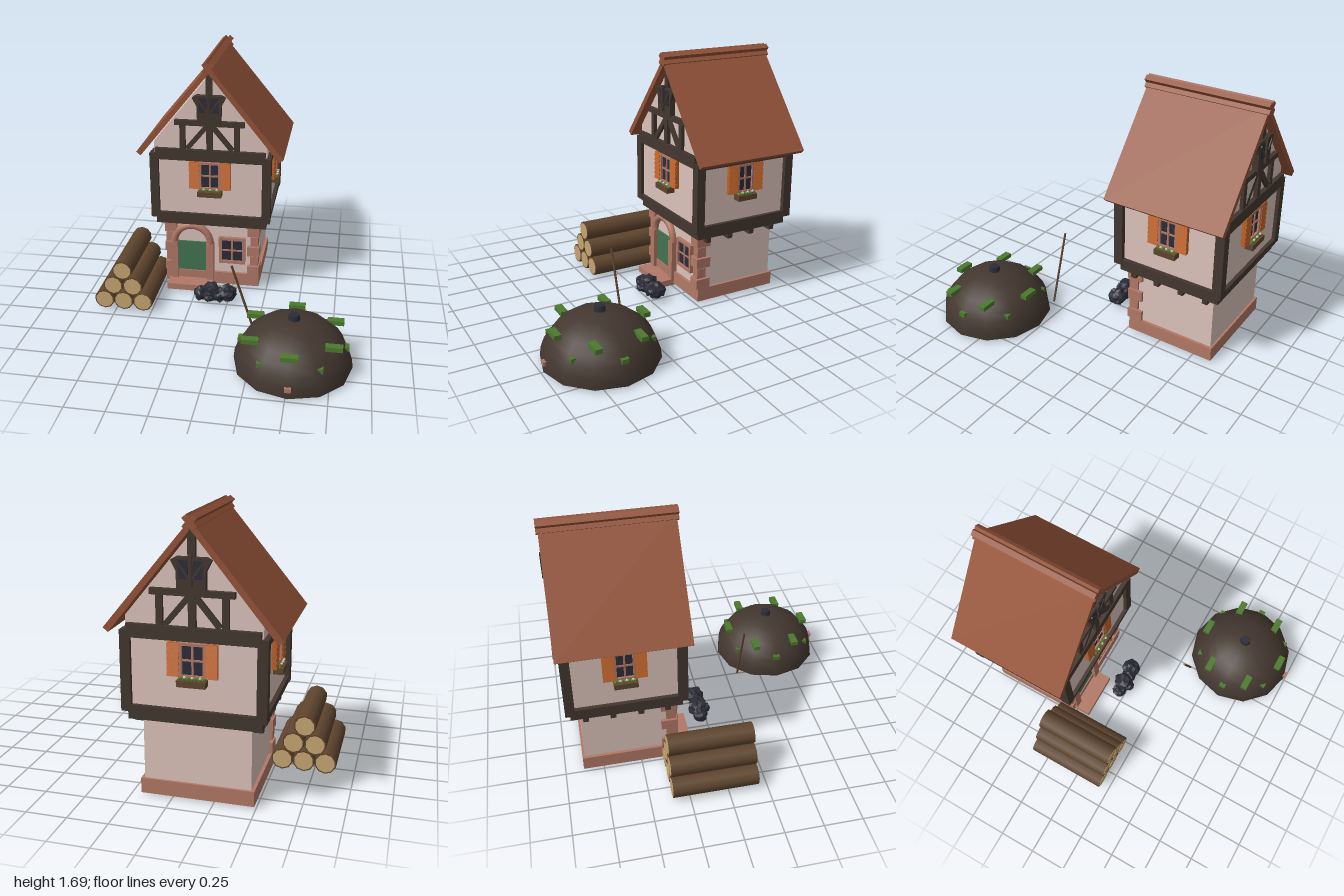
import * as THREE from 'three';

const mat = (name, color, side = THREE.FrontSide) => {
  const m = new THREE.MeshStandardMaterial({ color, side });
  m.name = name;
  return m;
};

export function createModel() {
  const plaster = mat('plaster', 0xdcc3bb), brick = mat('brick', 0xb17866);
  const tile = mat('roofTile', 0x945339), timber = mat('darkTimber', 0x43372f, THREE.DoubleSide);
  const orange = mat('shutterOrange', 0xbd632a), doorGreen = mat('doorGreen', 0x437350);
  const grass = mat('grass', 0x4c7a2e), glass = mat('darkBlue', 0x2b2c38);
  const bark = mat('bark', 0x5f452e), cutWood = mat('cutWood', 0xc6a672);

  const add = (parent, name, geo, material, x = 0, y = 0, z = 0) => {
    const m = new THREE.Mesh(geo, material);
    m.name = name;
    m.position.set(x, y, z);
    parent.add(m);
    return m;
  };
  // box given by its extents
  const box = (parent, name, material, x0, x1, y0, y1, z0, z1) =>
    add(parent, name, new THREE.BoxGeometry(x1 - x0, y1 - y0, z1 - z0), material,
      (x0 + x1) / 2, (y0 + y1) / 2, (z0 + z1) / 2);
  // bar between two points in the xy plane
  const bar = (parent, name, material, a, b, w, d, z) => {
    const dx = b[0] - a[0], dy = b[1] - a[1];
    const m = add(parent, name, new THREE.BoxGeometry(w, Math.hypot(dx, dy), d), material,
      (a[0] + b[0]) / 2, (a[1] + b[1]) / 2, z);
    m.rotation.z = Math.atan2(-dx, dy);
    return m;
  };
  const extrude = (pts, depth) => new THREE.ExtrudeGeometry(
    new THREE.Shape(pts.map(p => new THREE.Vector2(...p))), { depth, bevelEnabled: false });
  const sub = (parent, name, x = 0, y = 0, z = 0, ry = 0) => {
    const g = new THREE.Group();
    g.name = name;
    g.position.set(x, y, z);
    g.rotation.y = ry;
    parent.add(g);
    return g;
  };

  const model = new THREE.Group();
  model.name = 'cottageScene';
  const house = sub(model, 'house', -0.15, 0, -0.577);

  // ground floor, plinth and doorstep
  box(house, 'lowerWall', plaster, -0.32, 0.32, 0.02, 0.5, -0.29, 0.29);
  box(house, 'plinth', brick, -0.34, 0.34, 0.012, 0.105, -0.305, 0.31);
  box(house, 'doorstep', brick, -0.31, 0.01, 0, 0.045, 0.22, 0.425);

  // corner stones, front corners only
  for (const s of [-1, 1]) for (let i = 0; i < 5; i++) {
    const big = i % 2 === 0;
    const w = big ? 0.085 : 0.055, d = big ? 0.105 : 0.065, out = big ? 0.342 : 0.334;
    const y = 0.105 + i * 0.077;
    const xs = s > 0 ? [out - w, out] : [-out, -out + w];
    box(house, 'cornerStone', brick, ...xs, y, y + 0.07, out - 0.02 - d, out - 0.02);
  }

  // arched door
  const door = sub(house, 'door', -0.145, 0, 0.29);
  box(door, 'doorLeaf', doorGreen, -0.105, 0.105, 0.045, 0.335, -0.01, 0.012);
  for (const s of [-1, 1])
    box(door, 'doorPost', brick, s * 0.131 - 0.027, s * 0.131 + 0.027, 0.045, 0.335, -0.02, 0.04);
  add(door, 'doorArch', new THREE.TorusGeometry(0.131, 0.027, 8, 20, Math.PI), brick, 0, 0.335, 0.014);

  // framed window with a cross of glazing bars
  const framedWindow = (g, w, h, t, y) => {
    box(g, 'windowGlass', glass, -w / 2 + t / 2, w / 2 - t / 2, y + t / 2, y + h - t / 2, -0.01, 0.012);
    for (const s of [-1, 1]) {
      const x = s * (w - t) / 2, yy = y + h / 2 + s * (h - t) / 2;
      box(g, 'windowFrame', brick, x - t / 2, x + t / 2, y, y + h, -0.01, 0.026);
      box(g, 'windowFrame', brick, -w / 2, w / 2, yy - t / 2, yy + t / 2, -0.01, 0.025);
    }
    box(g, 'glazingBar', brick, -0.006, 0.006, y, y + h, -0.01, 0.019);
    box(g, 'glazingBar', brick, -w / 2, w / 2, y + h / 2 - 0.006, y + h / 2 + 0.006, -0.01, 0.018);
  };
  framedWindow(sub(house, 'lowerWindow', 0.145, 0, 0.29), 0.19, 0.205, 0.022, 0.185);

  // joists and the jettied upper floor
  for (const z of [-0.257, -0.087, 0.087, 0.257])
    box(house, 'joist', timber, -0.38, 0.38, 0.457, 0.5, z - 0.018, z + 0.018);
  box(house, 'floorBeam', timber, -0.39, 0.39, 0.495, 0.552, -0.35, 0.35);
  add(house, 'upperWall', extrude(
    [[-0.39, 0.55], [0.39, 0.55], [0.39, 1.11], [0, 1.59], [-0.39, 1.11]], 0.71), plaster, 0, 0, -0.355);
  for (const sx of [-1, 1]) for (const sz of [-1, 1])
    box(house, 'cornerPost', timber, sx * 0.39 - 0.03, sx * 0.39 + 0.03, 0.552, 1.03,
      sz * 0.349 - 0.03, sz * 0.349 + 0.03);

  // shuttered window with flower box, facing +z
  const shutteredWindow = (parent, w) => {
    const g = sub(parent, 'shutteredWindow');
    framedWindow(g, w, 0.2, 0.016, 0.782);
    for (const s of [-1, 1]) {
      const x = s * (w / 2 + 0.034);
      box(g, 'shutter', orange, x - 0.034, x + 0.034, 0.785, 0.98, -0.01, 0.018);
      for (let i = 0; i < 6; i++)
        add(g, 'shutterSlat', new THREE.BoxGeometry(0.07, 0.03, 0.012), orange,
          x, 0.801 + i * 0.0325, 0.024).rotation.x = -0.3;
    }
    box(g, 'flowerBox', bark, -w / 2 - 0.008, w / 2 + 0.008, 0.738, 0.775, 0, 0.058);
    for (let i = 0; i < 7; i++) {
      const x = (i - 3) * w * 0.15;
      add(g, 'leaves', new THREE.IcosahedronGeometry(0.013, 0), grass, x, 0.78, 0.034);
      if (i % 2) add(g, 'flower', new THREE.IcosahedronGeometry(0.009, 0), plaster, x + 0.006, 0.792, 0.042);
    }
  };

  // timbered gable faces, front and back
  for (const ry of [0, Math.PI]) {
    const f = sub(house, 'gableFace', 0, 0, 0, ry);
    const wall = sub(f, 'gableWall', 0, 0, 0.355);
    box(wall, 'gableBeam', timber, -0.38, 0.38, 0.99, 1.07, -0.01, 0.028);
    box(wall, 'sillBeam', timber, -0.38, 0.38, 0.552, 0.592, -0.01, 0.024);
    box(wall, 'kingPost', timber, -0.021, 0.021, 1.06, 1.61, -0.01, 0.026);
    box(wall, 'collarBeam', timber, -0.238, 0.238, 1.243, 1.278, -0.01, 0.03);
    for (const s of [-1, 1]) {
      box(wall, 'stud', timber, s * 0.186 - 0.019, s * 0.186 + 0.019, 1.06, 1.25, -0.01, 0.022);
      bar(wall, 'brace', timber, [s * 0.01, 1.25], [s * 0.155, 1.075], 0.032, 0.03, 0.006);
    }
    // small attic window with flared head
    add(wall, 'atticFrame', extrude([[-0.08, 1.27], [0.08, 1.27], [0.082, 1.38],
      [0.112, 1.44], [0.085, 1.455], [-0.085, 1.455], [-0.112, 1.44], [-0.082, 1.38]], 0.05), timber, 0, 0, -0.01);
    for (const s of [-1, 1]) {
      box(wall, 'atticGlass', glass, s * 0.04 - 0.026, s * 0.04 + 0.026, 1.34, 1.44, 0.036, 0.043);
      bar(wall, 'atticBar', timber, [s * 0.01, 1.345], [s * 0.07, 1.43], 0.012, 0.012, 0.043);
    }
    box(wall, 'atticBar', timber, -0.01, 0.01, 1.3, 1.47, 0.03, 0.055);
    shutteredWindow(wall, 0.15);
  }

  // side faces
  for (const s of [-1, 1]) {
    const side = sub(house, 'sideFace', s * 0.39, 0, 0, s * Math.PI / 2);
    box(side, 'topPlate', timber, -0.35, 0.35, 0.985, 1.03, -0.01, 0.026);
    box(side, 'sillBeam', timber, -0.35, 0.35, 0.552, 0.592, -0.01, 0.026);
    shutteredWindow(side, 0.13);
  }

  // roof slopes and crossed ridge boards
  const pitch = Math.atan2(0.615, 0.505);
  for (const s of [-1, 1]) {
    add(house, 'roofSlope', extrude([[0, 1.605], [s * 0.475, 1.017], [s * 0.505, 1.042], [0, 1.655]], 0.803),
      tile, 0, 0, -0.4015);
    add(house, 'ridgeBoard', new THREE.BoxGeometry(0.088, 0.036, 0.826), tile,
      0, 1.642, 0).rotation.z = s * pitch;
  }

  // log pile
  const logs = sub(model, 'logPile');
  [[-0.825, 0.08], [-0.69, 0.08], [-0.555, 0.08], [-0.758, 0.195], [-0.622, 0.195], [-0.69, 0.312]]
    .forEach(([x, y]) => {
      const log = add(logs, 'log', new THREE.CylinderGeometry(0.069, 0.069, 0.55, 10), bark, x, y, -0.085);
      log.rotation.x = Math.PI / 2;
      add(log, 'logEnds', new THREE.CylinderGeometry(0.06, 0.06, 0.555, 10), cutWood);
    });

  // coal heap: lumps roughened by a fixed rule
  const coal = sub(model, 'coalHeap');
  [[-0.19, 0.055, -0.04, 0.053], [-0.12, 0.07, -0.045, 0.068], [-0.125, 0.055, 0, 0.04],
    [-0.06, 0.058, -0.035, 0.055], [0, 0.07, -0.045, 0.064]].forEach(([x, y, z, r], k) => {
    const geo = new THREE.IcosahedronGeometry(r, 2), p = geo.attributes.position;
    const v = new THREE.Vector3();
    for (let i = 0; i < p.count; i++) {
      v.fromBufferAttribute(p, i);
      const n = v.clone().divideScalar(r);
      v.multiplyScalar(0.94 + 0.15 * Math.sin(n.x * 9 + k) * Math.sin(n.y * 11 + k * 2) + 0.08 * Math.sin(n.z * 13));
      p.setXYZ(i, v.x, v.y, v.z);
    }
    geo.computeVertexNormals();
    add(coal, 'coalLump', geo, glass, x, y, z);
  });

  // earth mound, open underneath, with vent cap and turf blocks
  const mound = sub(model, 'earthMound', 0.515, 0, 0.62);
  add(mound, 'moundShell', new THREE.SphereGeometry(0.37, 12, 8, 0, Math.PI * 2, 0, Math.PI / 2),
    timber, 0, 0.012, 0).scale.y = 0.85;
  add(mound, 'ventCap', new THREE.CylinderGeometry(0.033, 0.04, 0.05, 8), glass, 0, 0.333, 0);
  box(mound, 'fireHole', brick, -0.02, 0.02, 0.058, 0.085, 0.33, 0.375);
  for (let i = 0; i < 12; i++) {
    const a = i * Math.PI / 6;
    add(mound, 'turf', new THREE.BoxGeometry(0.104, 0.03, 0.046), grass,
      0.29 * Math.cos(a), i % 2 ? 0.24 : 0.155, 0.29 * Math.sin(a));
  }

  // leaning pole
  const pole = add(model, 'pole', new THREE.CylinderGeometry(0.008, 0.008, 0.505, 6), bark, 0.163, 0.257, 0.335);
  pole.rotation.z = 0.31;

  return model;
}
